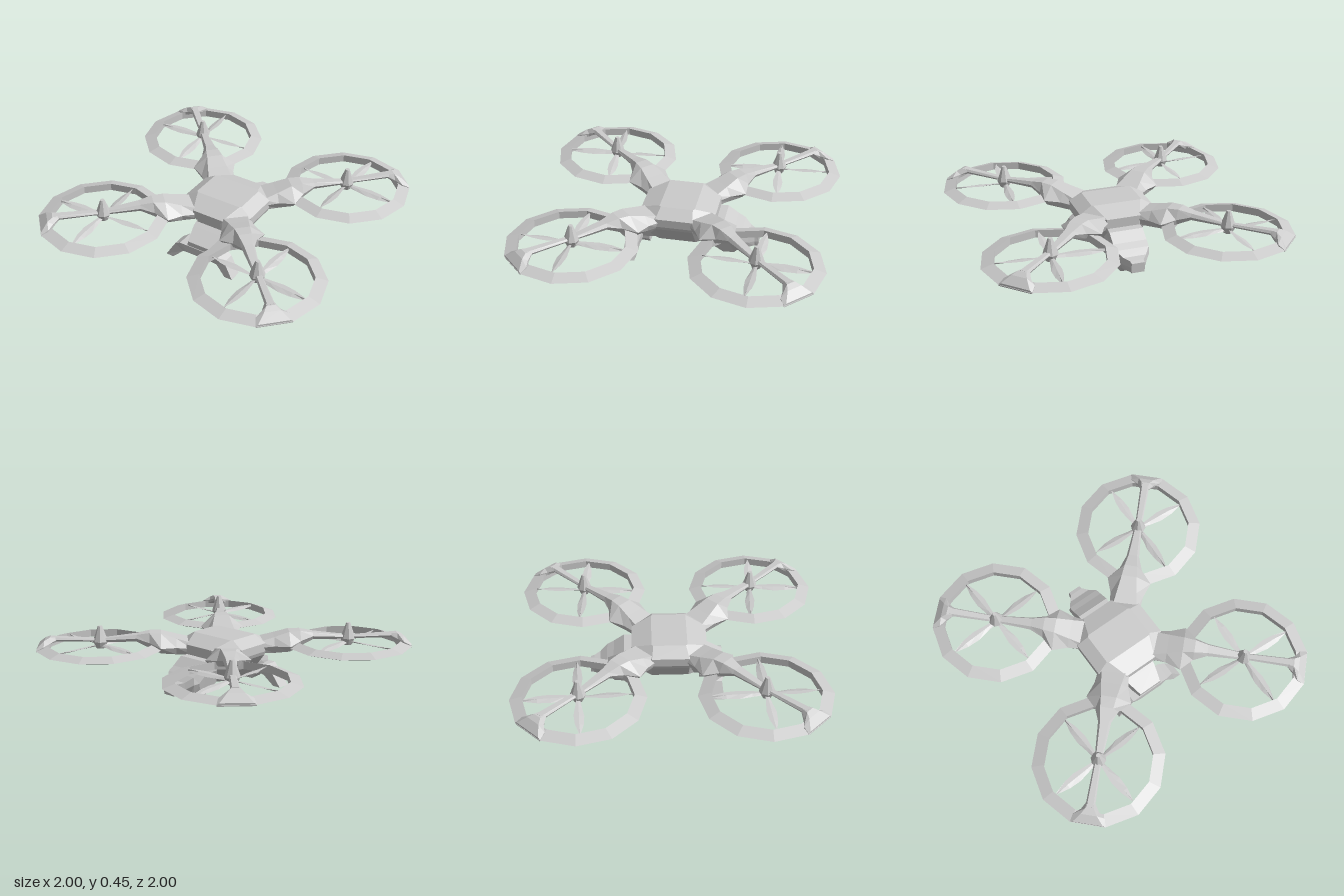
import * as THREE from 'three';

const material = new THREE.MeshStandardMaterial({ color: 0xcccccc, flatShading: true });

function add(parent, name, geometry) {
  const mesh = new THREE.Mesh(geometry, material);
  mesh.name = name;
  parent.add(mesh);
  return mesh;
}

// Skin a list of equal-length cross-sections and cap both ends
function loft(rings) {
  const n = rings[0].length;
  const tris = [];
  const tri = (a, b, c) => tris.push([a, b, c]);
  for (let i = 0; i < rings.length - 1; i++) {
    for (let j = 0; j < n; j++) {
      const k = (j + 1) % n;
      const a = rings[i][j], b = rings[i][k], c = rings[i + 1][k], d = rings[i + 1][j];
      tri(a, b, c);
      tri(a, c, d);
    }
  }
  const last = rings[rings.length - 1];
  for (let j = 1; j < n - 1; j++) {
    tri(rings[0][0], rings[0][j + 1], rings[0][j]);
    tri(last[0], last[j], last[j + 1]);
  }
  // Faces must point outward: flip the winding when the volume is negative
  let volume = 0;
  for (const [a, b, c] of tris) volume += a.dot(b.clone().cross(c));
  const points = tris.flatMap(([a, b, c]) => (volume < 0 ? [a, c, b] : [a, b, c]));
  const geometry = new THREE.BufferGeometry().setFromPoints(points);
  geometry.computeVertexNormals();
  return geometry;
}

// Six-sided section across the run: top, middle and bottom half widths and heights
function hexSection(s, wt, yt, wm, ym, wb, yb) {
  return [[wt, yt], [wm, ym], [wb, yb], [-wb, yb], [-wm, ym], [-wt, yt]]
    .map(([w, y]) => new THREE.Vector3(s, y, w));
}

// Horizontal rectangle with cut corners
function octagon(y, hx, cx, zf, zb, cf, cb) {
  return [[cx, zf], [hx, cf], [hx, cb], [cx, zb], [-cx, zb], [-hx, cb], [-hx, cf], [-cx, zf]]
    .map(([x, z]) => new THREE.Vector3(x, y, z));
}

function buildFuselage(model) {
  add(model, 'body', loft([
    octagon(0.11, 0.12, 0.08, 0.2, -0.17, 0.12, -0.12),
    octagon(0.26, 0.24, 0.11, 0.2, -0.25, 0.12, -0.12),
    octagon(0.285, 0.25, 0.11, 0.24, -0.25, 0.12, -0.12),
    octagon(0.34, 0.25, 0.11, 0.24, -0.25, 0.12, -0.12),
    octagon(0.39, 0.17, 0.16, 0.11, -0.12, 0.1, -0.11),
  ]));

  // Sections run along -z after the quarter turn
  const tail = add(model, 'tailPod', loft([
    hexSection(0.16, 0.1, 0.28, 0.115, 0.2, 0.08, 0.115),
    hexSection(0.3, 0.112, 0.275, 0.115, 0.2, 0.07, 0.025),
    hexSection(0.37, 0.112, 0.225, 0.115, 0.15, 0.06, 0.025),
    hexSection(0.415, 0.11, 0.2, 0.115, 0.15, 0.08, 0.08),
    hexSection(0.46, 0.075, 0.168, 0.08, 0.125, 0.07, 0.085),
    hexSection(0.5, 0.045, 0.16, 0.05, 0.12, 0.045, 0.085),
    hexSection(0.525, 0.042, 0.152, 0.045, 0.12, 0.042, 0.087),
  ]));
  tail.rotation.y = Math.PI / 2;

  const neck = add(model, 'noseNeck', loft([
    hexSection(0.13, 0.12, 0.255, 0.13, 0.18, 0.1, 0.11),
    hexSection(0.24, 0.11, 0.215, 0.115, 0.17, 0.1, 0.1),
    hexSection(0.35, 0.08, 0.172, 0.085, 0.14, 0.085, 0.1),
  ]));
  neck.rotation.y = -Math.PI / 2;

  const belly = add(model, 'noseBelly', loft([
    hexSection(0.195, 0.1, 0.12, 0.1, 0.08, 0.07, 0.045),
    hexSection(0.28, 0.1, 0.12, 0.1, 0.085, 0.07, 0.05),
  ]));
  belly.rotation.y = -Math.PI / 2;
}

// Bent front landing arch, skinned from one foot to the other
function buildLandingArch(model) {
  const half = [
    // outer x, outer y, inner x, inner y, back z, front z
    [0.255, 0, 0.2, 0, 0.265, 0.352],
    [0.19, 0.105, 0.13, 0.065, 0.25, 0.338],
    [0.14, 0.14, 0.085, 0.085, 0.24, 0.355],
  ];
  const ring = ([ox, oy, ix, iy, zb, zf], side) => [
    [ox, oy, zb], [ox, oy, zf], [ix, iy, zf], [ix, iy, zb],
  ].map(([x, y, z]) => new THREE.Vector3(side * x, y, z));
  add(model, 'landingArch', loft([
    ...half.map((p) => ring(p, -1)),
    ...half.slice().reverse().map((p) => ring(p, 1)),
  ]));
}

// Arm along local +x, from the body corner through the hub to the rotor guard
function buildArm() {
  const arm = new THREE.Group();
  arm.name = 'arm';
  add(arm, 'armInner', loft([
    hexSection(0.22, 0.08, 0.345, 0.1, 0.31, 0.09, 0.27),
    hexSection(0.32, 0.065, 0.372, 0.11, 0.32, 0.09, 0.272),
    hexSection(0.42, 0.05, 0.402, 0.145, 0.325, 0.11, 0.285),
    hexSection(0.495, 0.042, 0.405, 0.075, 0.345, 0.06, 0.31),
    hexSection(0.58, 0.028, 0.39, 0.042, 0.368, 0.03, 0.345),
    hexSection(0.815, 0.016, 0.364, 0.024, 0.354, 0.018, 0.342),
  ]));
  add(arm, 'armOuter', loft([
    hexSection(0.815, 0.014, 0.364, 0.022, 0.354, 0.016, 0.344),
    hexSection(1.13, 0.02, 0.38, 0.03, 0.365, 0.022, 0.35),
  ]));
  add(arm, 'guardBracket', loft([
    hexSection(1.1, 0.02, 0.376, 0.03, 0.362, 0.022, 0.348),
    hexSection(1.14, 0.028, 0.38, 0.055, 0.345, 0.055, 0.325),
    hexSection(1.175, 0.05, 0.364, 0.1, 0.334, 0.1, 0.3),
    hexSection(1.222, 0.095, 0.322, 0.111, 0.312, 0.109, 0.302),
  ]));
  return arm;
}

// Guard ring, hub and four blades around a local origin
function buildRotor(side) {
  const rotor = new THREE.Group();
  rotor.name = 'rotor';
  const profile = [[0.345, 0.285], [0.423, 0.31], [0.345, 0.335], [0.345, 0.285]];
  add(rotor, 'guardRing', new THREE.LatheGeometry(profile.map((p) => new THREE.Vector2(...p)), 12));

  const hub = [[0, 0.3], [0.03, 0.3], [0.05, 0.345], [0.034, 0.39], [0.014, 0.447], [0, 0.447]];
  add(rotor, 'hub', new THREE.LatheGeometry(hub.map((p) => new THREE.Vector2(...p)), 8));

  const stations = [[0.02, 0.012], [0.09, 0.02], [0.17, 0.032], [0.25, 0.026], [0.335, 0.004]];
  const blade = loft(stations.map(([r, w]) => [[-w, 0.006], [0, 0.005], [w, -0.006], [0, -0.005]]
    .map(([z, y]) => new THREE.Vector3(r, y, z * side))));
  for (let i = 0; i < 4; i++) {
    const mesh = add(rotor, 'blade', blade);
    mesh.position.y = 0.322;
    mesh.rotation.y = i * Math.PI / 2 - side * 0.065;
  }
  return rotor;
}

export function createModel() {
  const model = new THREE.Group();
  model.name = 'quadcopter';
  buildFuselage(model);
  buildLandingArch(model);
  for (let i = 0; i < 4; i++) {
    const angle = Math.PI / 4 + i * Math.PI / 2;
    const arm = buildArm();
    arm.rotation.y = angle;
    model.add(arm);
    const rotor = buildRotor(Math.sign(Math.cos(angle)));
    rotor.position.set(Math.cos(angle) * 0.816, 0, -Math.sin(angle) * 0.816);
    model.add(rotor);
  }
  return model;
}
